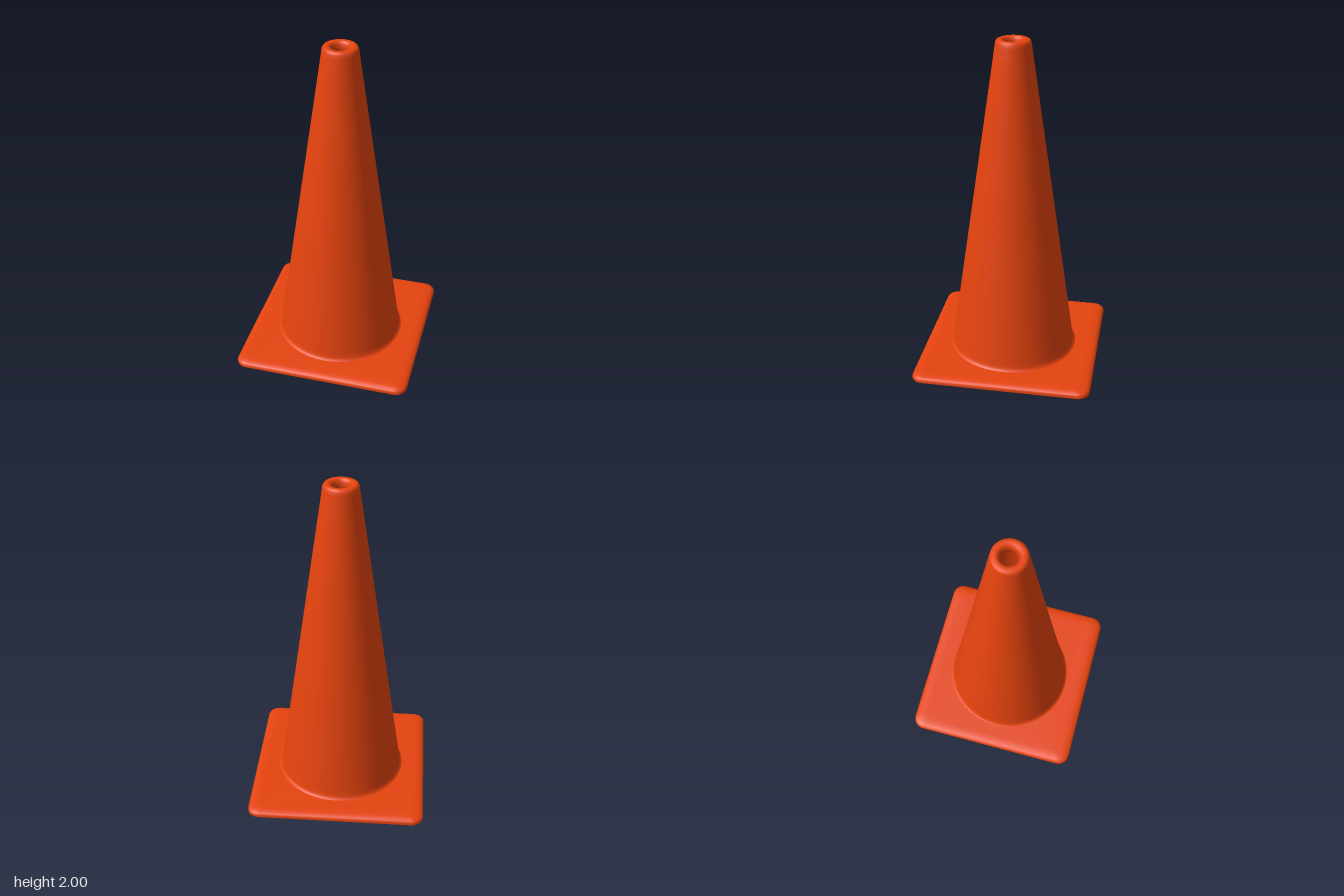
import * as THREE from 'three';

const orange = new THREE.MeshStandardMaterial({ color: 0xe6430e });
orange.name = 'safety orange';
const black = new THREE.MeshStandardMaterial({ color: 0x2a2d2a });
black.name = 'black rubber';

// Outline of a rounded square, counter-clockwise
function roundedSquare(half, radius, steps = 8) {
  const pts = [];
  for (let c = 0; c < 4; c++) {
    const sx = c === 0 || c === 3 ? 1 : -1, sy = c < 2 ? 1 : -1;
    for (let i = 0; i <= steps; i++) {
      const a = (c + i / steps) * Math.PI / 2;
      pts.push(new THREE.Vector2(
        sx * (half - radius) + radius * Math.cos(a),
        sy * (half - radius) + radius * Math.sin(a)));
    }
  }
  return pts;
}

// Skin through rounded squares given as [half, corner radius, y]
function loftSquares(rows) {
  const pos = [], index = [];
  let n = 0;
  for (const [half, radius, y] of rows) {
    const ring = roundedSquare(half, radius);
    n = ring.length;
    for (const p of ring) pos.push(p.x, y, -p.y);
  }
  for (let r = 0; r < rows.length - 1; r++) {
    for (let i = 0; i < n; i++) {
      const a = r * n + i, b = r * n + (i + 1) % n;
      index.push(a, b, b + n, a, b + n, a + n);
    }
  }
  const geo = new THREE.BufferGeometry();
  geo.setAttribute('position', new THREE.Float32BufferAttribute(pos, 3));
  geo.setIndex(index);
  geo.computeVertexNormals();
  return geo;
}

// Flat rounded square with a round hole, facing up or down
function flatRing(half, radius, hole, y, up) {
  const shape = new THREE.Shape(roundedSquare(half, radius));
  shape.holes.push(new THREE.Path().absarc(0, 0, hole, 0, Math.PI * 2, true));
  const geo = new THREE.ShapeGeometry(shape, 32);
  geo.rotateX(up ? -Math.PI / 2 : Math.PI / 2);
  return geo.translate(0, y, 0);
}

export function createModel() {
  const group = new THREE.Group();
  const add = (name, geo, mat, parent = group) => {
    const mesh = new THREE.Mesh(geo, mat);
    mesh.name = name;
    parent.add(mesh);
    return mesh;
  };

  // Hollow cone: up the outside, over the rolled lip and down the inside
  const profile = [
    [0.395, 0.066], [0.385, 0.07], [0.377, 0.085], [0.373, 0.11],
    [0.366, 0.16], [0.113, 1.9], [0.104, 1.965], [0.101, 1.985],
    [0.094, 1.996], [0.084, 2], [0.068, 2], [0.058, 1.995],
    [0.051, 1.982], [0.048, 1.96], [0.053, 1.93], [0.088, 1.88],
    [0.095, 1.84], [0.335, 0.16], [0.343, 0.1], [0.348, 0.06], [0.358, 0.03],
  ].map(([x, y]) => new THREE.Vector2(x, y));
  add('coneBody', new THREE.LatheGeometry(profile, 48), orange);

  // Square base with softened top edge
  add('baseEdge', loftSquares([
    [0.533, 0.07, 0.03], [0.533, 0.07, 0.045], [0.527, 0.065, 0.054],
    [0.515, 0.056, 0.061], [0.497, 0.046, 0.065], [0.475, 0.035, 0.067], [0.46, 0.03, 0.067],
  ]), orange);
  add('baseTop', flatRing(0.46, 0.03, 0.37, 0.067, true), orange);
  add('baseRim', loftSquares([[0.515, 0.052, 0.03], [0.533, 0.07, 0.03]]), orange);
  add('baseUnderside', flatRing(0.515, 0.052, 0.357, 0.03, false), black);

  // Radial rubber feet: long ones at the corners, short ones at the sides
  const feet = new THREE.Group();
  feet.name = 'feet';
  group.add(feet);
  for (let i = 0; i < 8; i++) {
    const corner = i % 2 === 1;
    const [inner, outer] = corner ? [0.395, 0.665] : [0.385, 0.475];
    const r = 0.025;
    const geo = new THREE.CapsuleGeometry(r, outer - inner - 2 * r, 5, 12);
    geo.rotateZ(Math.PI / 2);
    geo.scale(1, 1.2, 1);
    geo.translate((inner + outer) / 2, 0.03, 0);
    geo.rotateY(i * Math.PI / 4);
    add(corner ? 'cornerFoot' : 'sideFoot', geo, black, feet);
  }

  return group;
}
